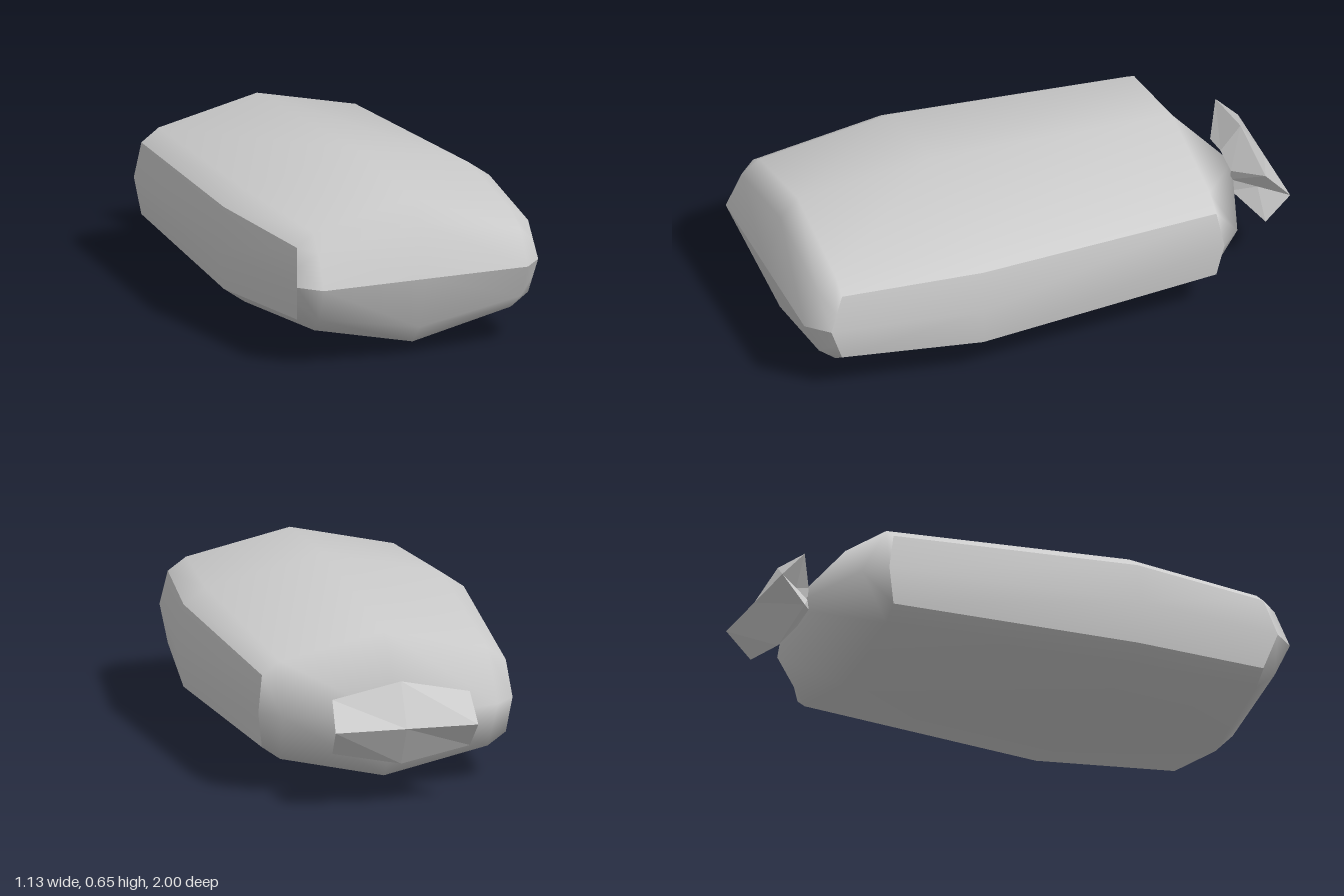
import * as THREE from 'three';

const MID = 0.325; // height of the seam

// Skin a grid of points: rows of equal length, optionally closed around
function loft(rows, closed = false) {
  const n = rows[0].length, index = [];
  for (let i = 0; i < rows.length - 1; i++) {
    for (let j = 0; j < (closed ? n : n - 1); j++) {
      const k = (j + 1) % n;
      const a = i * n + j, b = i * n + k, c = a + n, d = b + n;
      index.push(a, b, c, b, d, c);
    }
  }
  const g = new THREE.BufferGeometry();
  g.setAttribute('position', new THREE.Float32BufferAttribute(rows.flat(2), 3));
  g.setIndex(index);
  g.computeVertexNormals();
  return g;
}

const flipX = ([x, y, z]) => [-x, y, z];
const flipY = ([x, y, z]) => [x, -y, z];

export function createModel() {
  const model = new THREE.Group();
  const cloth = new THREE.MeshStandardMaterial({ color: 0xcccccc });
  cloth.name = 'grey cloth';

  const add = (name, geometry) => {
    const mesh = new THREE.Mesh(geometry, cloth);
    mesh.name = name;
    mesh.position.y = MID;
    model.add(mesh);
  };

  // Upper half of the sack, front seam to back: centre, shoulder, panel edge
  const stations = [
    [[0, 0, 1], [0.415, 0, 1], [0.49, 0, 0.92]],
    [[0, 0.205, 0.94], [0.41, 0.13, 0.94], [0.48, 0.07, 0.895]],
    [[0, 0.28, 0.87], [0.4, 0.19, 0.87], [0.47, 0.14, 0.87]],
    [[0, 0.325, 0.33], [0.455, 0.22, 0.33], [0.54, 0.16, 0.33]],
    [[0, 0.28, -0.63], [0.4, 0.19, -0.63], [0.47, 0.14, -0.63]],
    [[0, 0, -0.87], [0.415, 0, -0.735], [0.49, 0, -0.655]],
  ];

  // Smooth shell over the top, round the back and under to the front seam
  const top = stations.map(([c, s, e]) => [flipX(e), flipX(s), c, s, e]);
  const bottom = top.slice(0, -1).reverse().map(row => row.map(flipY));
  add('sackShell', loft([...top, ...bottom]));

  // Side panels with sharp borders
  const ridge = [[0.49, 0, 0.92], [0.567, 0, 0.34], [0.49, 0, -0.655]];
  const panel = ridge.map((r, i) => {
    const e = stations[i + 2][2];
    return [e, r, flipY(e)];
  });
  add('leftSidePanel', loft(panel));
  add('rightSidePanel', loft(panel.map(row => row.map(flipX).reverse())));

  // Flared, pinched end with a folded-in groove on each side
  const ring = (z, peak, x, y, groove) => [
    [-x, y, z], [0, peak, z], [x, y, z], [groove, 0, z],
    [x, -y, z], [0, -peak, z], [-x, -y, z], [-groove, 0, z],
  ];
  const tie = loft([
    ring(-0.825, 0.065, 0.11, 0.045, 0.1),
    ring(-0.905, 0.16, 0.265, 0.105, 0.18),
    ring(-1, 0, 0.275, 0, 0.275),
  ], true).toNonIndexed();
  tie.computeVertexNormals();
  add('tiedEnd', tie);

  return model;
}
